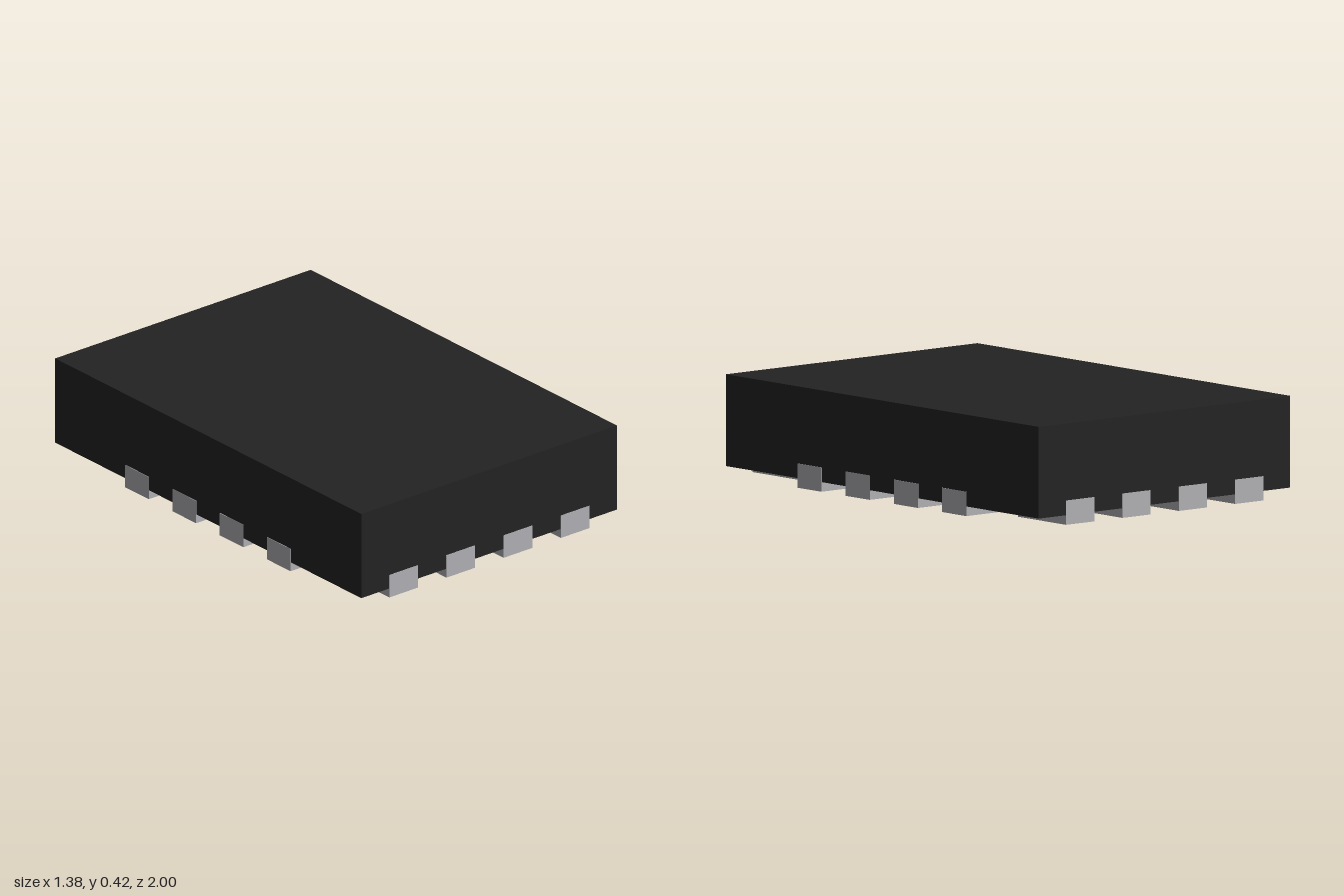
import * as THREE from 'three';

const HALF_X = 0.69, HALF_Z = 1, BASE = 0.04, TOP = 0.425;
const PAD_WIDTH = 0.154, PAD_LENGTH = 0.308, TAB_TOP = 0.102, PROUD = 0.002;
const OFFSETS = [-0.462, -0.154, 0.154, 0.462];

// Pad outline: outer edge at v = 0, running inward to v = length, optionally round-ended
function padGeometry(length, rounded) {
  const r = PAD_WIDTH / 2;
  const s = new THREE.Shape();
  s.moveTo(-r, 0);
  s.lineTo(r, 0);
  if (rounded) {
    s.lineTo(r, length - r);
    s.absarc(0, length - r, r, 0, Math.PI, false);
  } else {
    s.lineTo(r, length);
    s.lineTo(-r, length);
  }
  s.closePath();
  const g = new THREE.ExtrudeGeometry(s, { depth: BASE, bevelEnabled: false, curveSegments: 16 });
  return g.rotateX(-Math.PI / 2);
}

export function createModel() {
  const model = new THREE.Group();
  model.name = 'chipPackage';
  const black = new THREE.MeshStandardMaterial({ color: 0x232323 });
  black.name = 'black moulding';
  const metal = new THREE.MeshStandardMaterial({ color: 0xb0b0b4 });
  metal.name = 'grey metal';

  // Moulded body, raised on its contacts
  const body = new THREE.Mesh(
    new THREE.BoxGeometry(2 * (HALF_X - PROUD), TOP - BASE, 2 * (HALF_Z - PROUD)), black);
  body.position.y = (TOP + BASE) / 2;
  body.name = 'body';
  model.add(body);

  const plainPad = padGeometry(PAD_LENGTH, false);
  const markerPad = padGeometry(0.385, true);
  const tabGeometry = new THREE.BoxGeometry(PAD_WIDTH, TAB_TOP - BASE, 0.006);

  // One contact facing local +z: flat foot below, thin tab up the wall
  function contact(name, padGeo) {
    const group = new THREE.Group();
    group.name = name;
    const foot = new THREE.Mesh(padGeo, metal);
    foot.name = 'foot';
    const tab = new THREE.Mesh(tabGeometry, metal);
    tab.name = 'wallTab';
    tab.position.set(0, (TAB_TOP + BASE) / 2, -0.003);
    group.add(foot, tab);
    return group;
  }

  // Four contacts along each edge; the first one on the -x edge is round-ended
  const sides = [
    { name: 'front', angle: 0, reach: HALF_Z },
    { name: 'left', angle: Math.PI / 2, reach: HALF_X },
    { name: 'back', angle: Math.PI, reach: HALF_Z },
    { name: 'right', angle: -Math.PI / 2, reach: HALF_X },
  ];
  for (const { name, angle, reach } of sides) {
    const row = new THREE.Group();
    row.name = name + 'Contacts';
    row.rotation.y = angle;
    OFFSETS.forEach((x, i) => {
      const marker = name === 'right' && i === 0;
      const c = contact(marker ? 'markerContact' : 'contact', marker ? markerPad : plainPad);
      c.position.set(x, 0, reach);
      row.add(c);
    });
    model.add(row);
  }
  return model;
}
